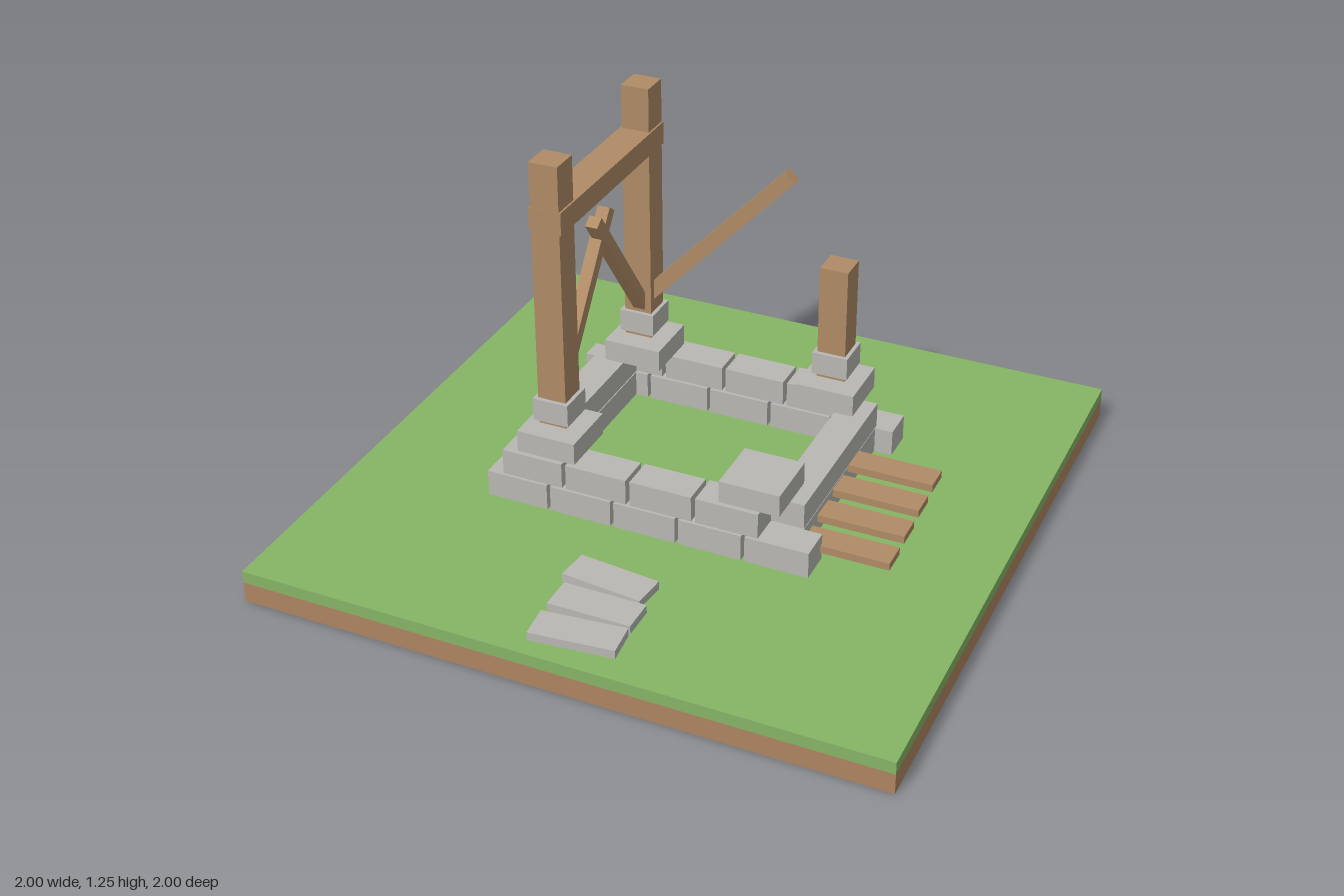
import * as THREE from 'three';

const mat = (name, color) => {
  const m = new THREE.MeshStandardMaterial({ color });
  m.name = name;
  return m;
};

export function createModel() {
  const grass = mat('grass', 0x86b566);
  const dirt = mat('dirt', 0xb08562);
  const stone = mat('stone', 0xb9b8b4);
  const wood = mat('wood', 0xb08c66);
  const iron = mat('dark iron', 0x3a3835);
  const root = new THREE.Group();
  root.name = 'ruinedWatchtower';

  // Box given by its extents on each axis
  const box = (name, m, [x0, x1], [y0, y1], [z0, z1], parent = root) => {
    const mesh = new THREE.Mesh(new THREE.BoxGeometry(x1 - x0, y1 - y0, z1 - z0), m);
    mesh.position.set((x0 + x1) / 2, (y0 + y1) / 2, (z0 + z1) / 2);
    mesh.name = name;
    parent.add(mesh);
    return mesh;
  };
  const around = (c, size) => [c - size / 2, c + size / 2];
  const group = (name) => {
    const g = new THREE.Group();
    g.name = name;
    root.add(g);
    return g;
  };

  // Ground slab
  box('soil', dirt, [-1, 1], [0, 0.066], [-1, 1]);
  box('turf', grass, [-1, 1], [0.066, 0.105], [-1, 1]);

  // Front and back walls: two staggered courses of blocks
  const walls = group('walls');
  for (const z of [-0.349, 0.349]) {
    for (let i = 0; i < 5; i++) {
      box('lowerBlock', stone, around(-0.418 + i * 0.209, 0.198), [0.138, 0.222], around(z, 0.106), walls);
    }
    for (let i = 0; i < 4; i++) {
      box('upperBlock', stone, around(-0.365 + i * 0.209, 0.196), [0.229, 0.311], around(z, 0.106), walls);
    }
  }
  // Side walls: long slabs
  for (const x of [-0.41, 0.41]) {
    box('lowerSideSlab', stone, around(x, 0.1), [0.14, 0.222], [-0.298, 0.298], walls);
    box('upperSideSlab', stone, around(x, 0.104), [0.229, 0.309], [-0.302, 0.302], walls);
  }

  // Corner caps, posts and their stone sockets
  const px = 0.325, pz = 0.292;
  for (const x of [-px, px]) {
    for (const z of [-pz, pz]) {
      box('cornerCap', stone, around(x, 0.188), [0.311, 0.381], around(z, 0.19));
    }
  }
  for (const [x, z, top] of [[-px, pz, 1.245], [-px, -pz, 1.245], [px, -pz, 0.77]]) {
    box('post', wood, around(x, 0.09), [0.395, top], around(z, 0.09));
    box('postSocket', stone, around(x, 0.114), [0.41, 0.482], around(z, 0.116));
    if (x < 0) box('peg', iron, around(x, 0.02), [0.452, 0.468], around(z - 0.072, 0.008));
  }

  // Top beam
  box('topBeam', wood, around(-px, 0.102), [1.034, 1.105], around(0, 0.676));

  // Square timber running between two points
  const timber = (name, a, b, width, depth) => {
    const from = new THREE.Vector3(...a), to = new THREE.Vector3(...b);
    const mesh = new THREE.Mesh(new THREE.BoxGeometry(width, from.distanceTo(to), depth), wood);
    mesh.position.copy(from).add(to).multiplyScalar(0.5);
    mesh.quaternion.setFromUnitVectors(new THREE.Vector3(0, 1, 0), to.sub(from).normalize());
    mesh.name = name;
    root.add(mesh);
  };
  // Crossed braces under the beam and one loose leaning brace
  timber('crossBrace', [-px - 0.004, 0.5, 0.265], [-px - 0.004, 0.935, -0.05], 0.04, 0.038);
  timber('crossBrace', [-px + 0.004, 0.5, -0.265], [-px + 0.004, 0.935, 0.05], 0.04, 0.038);
  timber('leaningBrace', [-0.32, 0.515, -0.288], [0.168, 1.033, -0.288], 0.045, 0.036);

  // Fallen planks, stepping up towards the back
  for (let i = 0; i < 4; i++) {
    const y = 0.178 + i * 0.0135;
    box('plank', wood, [0.332, 0.728], around(y, 0.024), around(0.267 - i * 0.1225, 0.086));
  }

  // Stepping stones
  for (const [x, z, turn] of [[0, 0.625, -0.1], [0.02, 0.752, 0], [0.025, 0.88, 0.1]]) {
    box('steppingStone', stone, around(x, 0.26), [0.107, 0.134], around(z, 0.106)).rotation.y = turn;
  }

  // Small rubble at the back
  for (const x of [-0.575, -0.501, -0.428]) {
    box('rubble', stone, around(x, 0.042), [0.145, 0.177], [-0.478, -0.404]);
  }
  return root;
}
